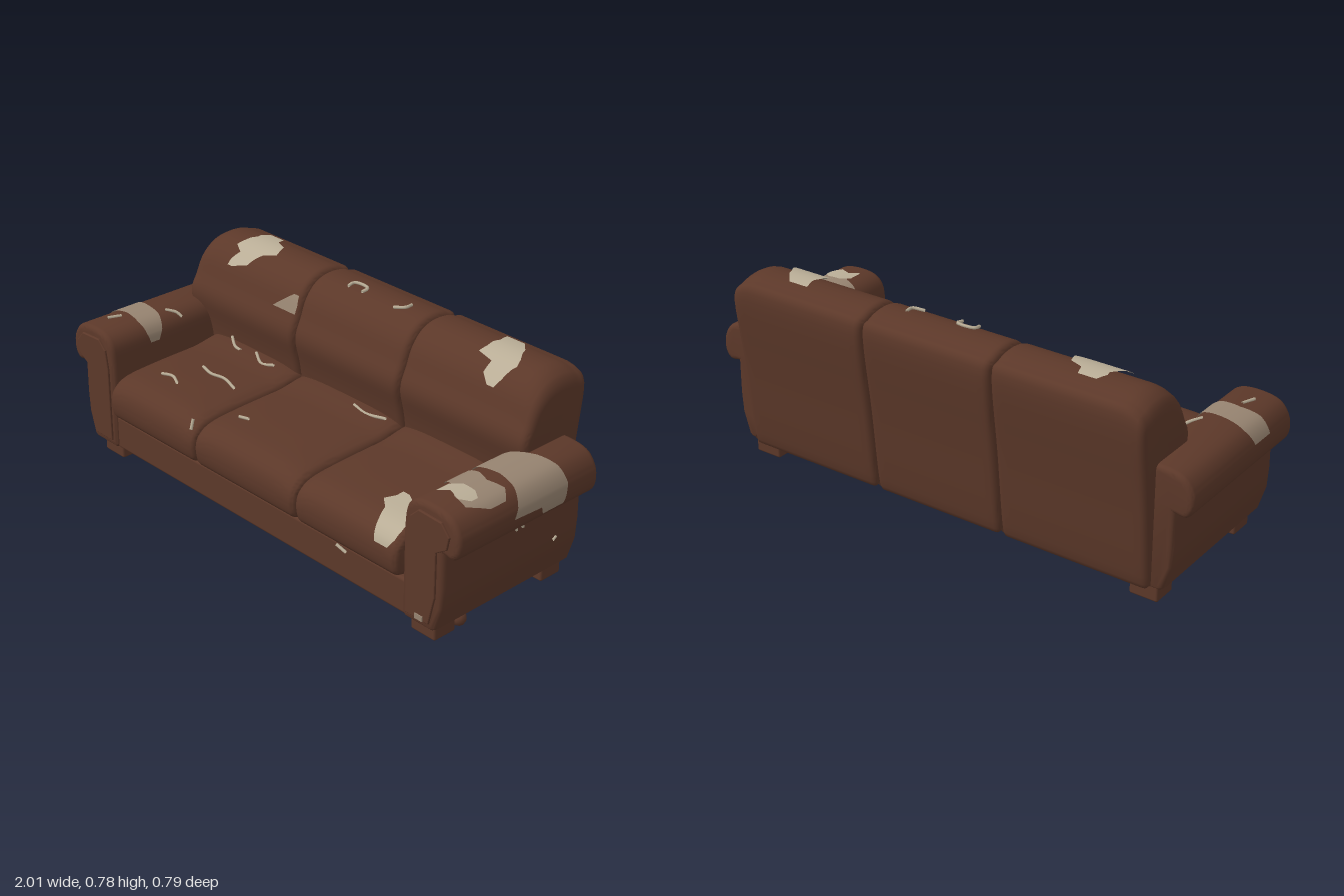
import * as THREE from 'three';
import { toCreasedNormals } from 'three/addons/utils/BufferGeometryUtils.js';
import { RoundedBoxGeometry } from 'three/addons/geometries/RoundedBoxGeometry.js';

const material = (name, color, side = THREE.FrontSide) => {
  const m = new THREE.MeshStandardMaterial({ color, side });
  m.name = name;
  return m;
};
const spline = (pts) => new THREE.SplineCurve(pts.map(([x, y]) => new THREE.Vector2(x, y)));

// Side profiles as [z, y], and the arm roll as [x, y]
const BACK = [[-0.15, 0.07], [-0.12, 0.4], [-0.092, 0.545], [-0.12, 0.63], [-0.15, 0.7], [-0.2, 0.75],
  [-0.27, 0.768], [-0.35, 0.752], [-0.394, 0.7], [-0.36, 0.4], [-0.327, 0.09], [-0.3, 0.065]];
const SEAT = [[-0.16, 0.2], [-0.17, 0.395], [0, 0.392], [0.2, 0.387], [0.32, 0.375], [0.372, 0.34],
  [0.388, 0.28], [0.375, 0.215], [0.33, 0.2]];
const ROLL = [[0.935, 0.368], [0.975, 0.365], [1, 0.4], [0.997, 0.46], [0.96, 0.51], [0.89, 0.527],
  [0.81, 0.52], [0.768, 0.48], [0.757, 0.4]];

export function createModel() {
  const group = new THREE.Group();
  const leather = material('brown leather', 0x5c3829);
  const lining = material('worn lining', 0x968370, THREE.DoubleSide);
  const stuffing = material('torn stuffing', 0xb9ad96, THREE.DoubleSide);

  const add = (name, geometry, mat = leather) => {
    const mesh = new THREE.Mesh(geometry, mat);
    mesh.name = name;
    group.add(mesh);
    return mesh;
  };
  const bevelled = (shape, depth, bevel, steps) => new THREE.ExtrudeGeometry(shape, {
    depth: depth - 2 * bevel, steps, bevelEnabled: true, bevelSize: bevel,
    bevelThickness: bevel, bevelOffset: -bevel, bevelSegments: 4,
  }).translate(0, 0, bevel);

  // Side profile run along x, then shaped by a rule returning the new height
  const flip = (pts) => pts.map(([z, y]) => [-z, y]);
  const cushion = (name, pts, x0, x1, bevel, rule) => {
    const shape = new THREE.Shape(spline(flip(pts)).getPoints(60));
    const geo = bevelled(shape, x1 - x0, bevel, 20).translate(0, 0, x0).rotateY(Math.PI / 2);
    const p = geo.attributes.position;
    for (let i = 0; i < p.count; i++) p.setY(i, rule(p.getX(i), p.getY(i)));
    add(name, toCreasedNormals(geo, 0.7));
  };

  // Back cushions, rounded at the outer top corners
  const backRule = (x, y) => {
    const t = Math.min(1, Math.max(0, (Math.abs(x) - 0.77) / 0.095));
    return y > 0.55 ? y - (y - 0.55) * 0.36 * (1 - Math.sqrt(1 - t * t)) : y;
  };
  const seats = [[-0.755, -0.268], [-0.264, 0.264], [0.268, 0.755]];
  [[-0.862, -0.272], [-0.268, 0.268], [0.272, 0.858]].forEach(([a, b], i) => {
    cushion('backCushion' + (i + 1), BACK, a, b, 0.025, backRule);
  });

  // Seat cushions, slightly domed
  seats.forEach(([a, b], i) => cushion('seatCushion' + (i + 1), SEAT, a, b, 0.022, (x, y) => {
    const u = (2 * x - a - b) / (b - a);
    return y > 0.25 ? y - 0.02 * u ** 4 * Math.min(1, (y - 0.25) / 0.1) : y;
  }));

  // Base rail
  add('base', new RoundedBoxGeometry(1.58, 0.135, 0.65, 3, 0.012).translate(0, 0.128, 0.025));

  // Arms, front panels and feet
  const rollCurve = (s) => spline(ROLL.map(([x, y]) => [s * x, y]));
  for (const s of [1, -1]) {
    const side = s > 0 ? 'left' : 'right';
    const arm = new THREE.Shape(rollCurve(s).getPoints(48));
    [[0.757, 0.075], [0.77, 0.06], [0.89, 0.06], [0.905, 0.07], [0.932, 0.16], [0.937, 0.24]]
      .forEach(([x, y]) => arm.lineTo(s * x, y));
    add(side + 'Arm', toCreasedNormals(bevelled(arm, 0.665, 0.02, 1).translate(0, 0, -0.305), 0.6));

    const panel = new THREE.Shape([[0.782, 0.09], [0.885, 0.09], [0.91, 0.2], [0.91, 0.37], [0.955, 0.4],
      [0.965, 0.45], [0.93, 0.49], [0.83, 0.495], [0.795, 0.46], [0.782, 0.38]]
      .map(([x, y]) => new THREE.Vector2(s * x, y)));
    add(side + 'ArmFrontPanel', bevelled(panel, 0.014, 0.004, 1).translate(0, 0, 0.354));

    for (const [end, z] of [['Front', 0.278], ['Back', -0.24]]) {
      add(side + end + 'Foot', new RoundedBoxGeometry(0.11, 0.065, 0.098, 2, 0.008).translate(s * 0.825, 0.0335, z));
    }
  }
  // Loose round foot beside the left front foot
  add('looseFoot', new THREE.SphereGeometry(0.028, 12, 8).translate(0.865, 0.031, 0.2));

  // Torn patch hugging a profile; rows are [control point index, from, to, lift]
  const patch = (name, mat, curve, rows, place, lift) => {
    const n = curve.points.length - 1, pos = [], index = [], steps = 6;
    for (let k = 0; k <= (rows.length - 1) * steps; k++) {
      const i = Math.min(rows.length - 2, Math.floor(k / steps)), f = k / steps - i;
      const mix = (j) => THREE.MathUtils.lerp(rows[i][j] ?? lift, rows[i + 1][j] ?? lift, f);
      const t = mix(0) / n, p = curve.getPoint(t), d = curve.getTangent(t);
      p.add(new THREE.Vector2(d.y, -d.x).multiplyScalar(mix(3)));
      pos.push(...place(p, mix(1)), ...place(p, mix(2)));
      if (k) index.push(2 * k - 2, 2 * k - 1, 2 * k, 2 * k - 1, 2 * k + 1, 2 * k);
    }
    const geo = new THREE.BufferGeometry();
    geo.setAttribute('position', new THREE.Float32BufferAttribute(pos, 3));
    geo.setIndex(index);
    geo.computeVertexNormals();
    add(name, geo, mat);
  };
  const alongX = (p, u) => [u, p.y, -p.x];
  const alongZ = (p, u) => [p.x, p.y, u];
  const back = spline(flip(BACK)), seat = spline(flip(SEAT));

  patch('rightBackTear', stuffing, back, [[3.9, -0.655, -0.63, -0.035], [4.2, -0.66, -0.57, -0.025],
    [4.7, -0.65, -0.56], [5, -0.69, -0.54], [5.3, -0.68, -0.49], [5.7, -0.67, -0.5], [6, -0.655, -0.51],
    [6.2, -0.66, -0.56], [6.6, -0.64, -0.57]], alongX, -0.012);
  patch('leftBackTear', stuffing, back, [[3.8, 0.66, 0.69, -0.03], [4.2, 0.62, 0.7, -0.02],
    [4.8, 0.62, 0.71], [5, 0.55, 0.72], [5.4, 0.56, 0.71], [5.8, 0.56, 0.69], [6.1, 0.57, 0.68],
    [6.6, 0.56, 0.64]], alongX, -0.012);
  patch('backHole', lining, back, [[3, -0.4, -0.28], [3.4, -0.36, -0.278], [3.9, -0.31, -0.285]], alongX, -0.006);
  patch('seatTear', stuffing, seat, [[3, 0.6, 0.63], [3.2, 0.6, 0.68], [3.5, 0.58, 0.7], [3.8, 0.62, 0.74],
    [4.4, 0.64, 0.745], [5, 0.65, 0.74], [5.5, 0.66, 0.72]], alongX, 0.008);
  patch('leftArmBackPatch', lining, rollCurve(1), [[1.9, -0.13, -0.03], [2.4, -0.14, -0.02], [2.5, -0.14, 0.11],
    [3, -0.15, 0.09], [4, -0.14, 0.07], [5, -0.12, 0.06], [6, -0.08, 0.07], [7, -0.03, 0.06]], alongZ, 0.004);
  patch('leftArmFrontPatch', lining, rollCurve(1), [[3.6, 0.13, 0.2], [4.2, 0.1, 0.28], [5, 0.12, 0.27],
    [5.6, 0.1, 0.22], [6.5, 0.1, 0.2], [7, 0.12, 0.18]], alongZ, 0.004);
  patch('leftArmTear', stuffing, rollCurve(1), [[4.3, 0.22, 0.25], [4.7, 0.2, 0.28], [5.3, 0.2, 0.26],
    [5.7, 0.23, 0.29]], alongZ, 0.01);
  patch('rightArmPatch', lining, rollCurve(-1), [[3, 0.1, 0.2], [4, 0.08, 0.2], [5, 0.09, 0.19],
    [6, 0.1, 0.2], [7, 0.12, 0.19], [7.4, 0.14, 0.18]], alongZ, -0.004);

  // Small curled scraps
  const scraps = [
    [[-0.55, 0.396, 0.1], [-0.48, 0.4, 0.12], [-0.42, 0.4, 0.11], [-0.34, 0.396, 0.13]],
    [[-0.62, 0.39, 0.24], [-0.57, 0.395, 0.23], [-0.52, 0.392, 0.25]],
    [[-0.17, 0.39, 0.25], [-0.13, 0.392, 0.24]],
    [[-0.62, 0.43, -0.1], [-0.58, 0.41, -0.08], [-0.55, 0.405, -0.08]],
    [[-0.47, 0.42, -0.09], [-0.42, 0.4, -0.07], [-0.36, 0.41, -0.08]],
    [[0.06, 0.405, -0.09], [0.13, 0.4, -0.08], [0.22, 0.41, -0.09]],
    [[-0.11, 0.77, -0.22], [-0.11, 0.775, -0.25], [-0.04, 0.775, -0.25], [-0.04, 0.77, -0.22]],
    [[0.12, 0.765, -0.22], [0.16, 0.772, -0.24], [0.16, 0.772, -0.27]],
    [[0.945, 0.395, 0.15], [0.945, 0.36, 0.135]],
    [[0.94, 0.335, 0.025], [0.94, 0.325, 0.02]],
    [[0.94, 0.335, -0.005], [0.94, 0.325, -0.01]],
    [[0.937, 0.215, -0.185], [0.937, 0.205, -0.17]],
    [[0.45, 0.19, 0.36], [0.49, 0.175, 0.355]],
    [[-0.82, 0.525, 0.06], [-0.79, 0.515, 0.03], [-0.77, 0.5, 0.02]],
    [[-0.9, 0.53, 0.27], [-0.88, 0.53, 0.22]],
    [[-0.28, 0.38, 0.37], [-0.275, 0.345, 0.385]],
  ];
  scraps.forEach((pts, i) => {
    const path = new THREE.CatmullRomCurve3(pts.map((p) => new THREE.Vector3(...p)));
    add('scrap' + (i + 1), new THREE.TubeGeometry(path, pts.length * 3, 0.006, 5), stuffing);
  });
  // Small tag low on the left arm front
  add('tag', new THREE.BoxGeometry(0.035, 0.02, 0.004).translate(0.845, 0.1, 0.369), lining);

  return group;
}
